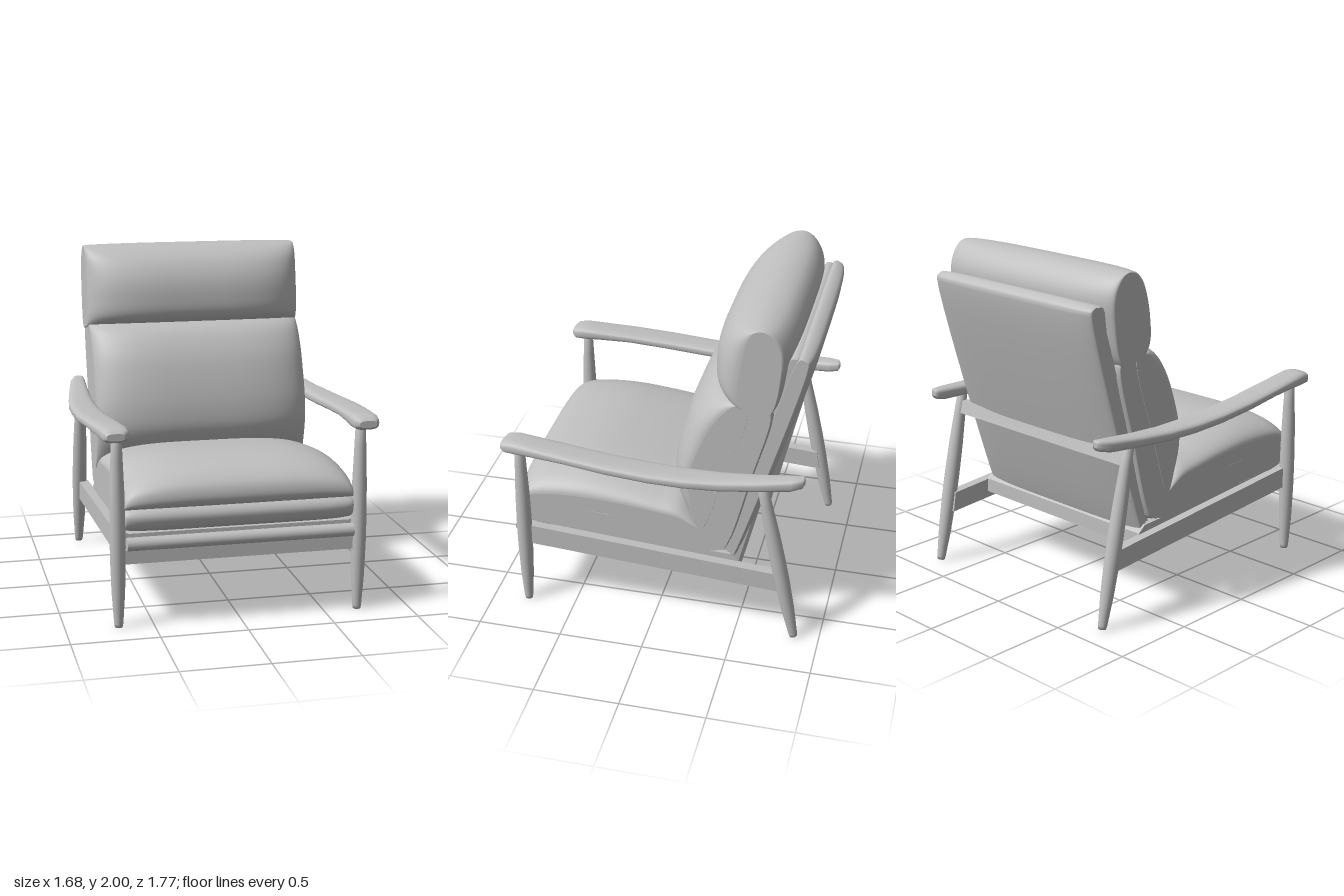
import * as THREE from 'three';

const grey = new THREE.MeshStandardMaterial({ color: 0xc0c0c0 });
grey.name = 'softGrey';

// Skin a list of closed rings, with flat end caps; the winding is turned outward
function loft(rings) {
  const n = rings[0].length, pos = [], idx = [];
  const push = p => pos.push(p.x, p.y, p.z) / 3 - 1;
  rings.forEach(r => r.forEach(push));
  for (let i = 0; i < rings.length - 1; i++)
    for (let j = 0; j < n; j++) {
      const a = i * n + j, b = i * n + (j + 1) % n;
      idx.push(a, b, a + n, b, b + n, a + n);
    }
  [rings[0], rings[rings.length - 1]].forEach((ring, end) => {
    const mid = ring.reduce((s, p) => s.add(p), new THREE.Vector3()).divideScalar(n);
    const c = push(mid), first = c + 1;
    ring.forEach(push);
    for (let j = 0; j < n; j++) {
      const a = first + j, b = first + (j + 1) % n;
      if (end) idx.push(c, a, b); else idx.push(c, b, a);
    }
  });
  const at = i => new THREE.Vector3().fromArray(pos, i * 3);
  let volume = 0;
  for (let i = 0; i < idx.length; i += 3)
    volume += at(idx[i]).dot(at(idx[i + 1]).cross(at(idx[i + 2])));
  if (volume < 0) idx.reverse();
  const g = new THREE.BufferGeometry();
  g.setAttribute('position', new THREE.Float32BufferAttribute(pos, 3));
  g.setIndex(idx);
  g.computeVertexNormals();
  return g;
}

// Side profile [z, y] that blends from a full centre to a slimmer edge
function pillow(centre, edge, halfWidth, power = 3, samples = 80) {
  const sample = pts => new THREE.CatmullRomCurve3(
    pts.map(([z, y]) => new THREE.Vector3(0, y, z)), true, 'centripetal').getPoints(samples).slice(0, -1);
  const a = sample(centre), b = sample(edge), rings = [];
  for (let i = 0; i <= 40; i++) {
    const u = Math.sin((i / 20 - 1) * Math.PI / 2);
    const f = Math.sqrt(Math.max(0, 1 - Math.abs(u) ** power));
    rings.push(a.map((p, k) => {
      const q = b[k].clone().lerp(p, f);
      q.x = u * halfWidth;
      return q;
    }));
  }
  return loft(rings);
}

// Armrest: stations are [z, inner x, outer x, bottom y, top y]
function armrest(side) {
  const stations = [
    [-0.872, 0.665, 0.69, 1.075, 1.105], [-0.86, 0.645, 0.715, 1.055, 1.117],
    [-0.8, 0.645, 0.74, 1.04, 1.113], [-0.6, 0.655, 0.775, 1.028, 1.098],
    [-0.4, 0.665, 0.805, 1.02, 1.09], [-0.2, 0.67, 0.83, 1.025, 1.092],
    [0, 0.672, 0.84, 1.035, 1.1], [0.25, 0.67, 0.84, 1.055, 1.118],
    [0.5, 0.655, 0.825, 1.078, 1.138], [0.7, 0.64, 0.805, 1.08, 1.154],
    [0.8, 0.632, 0.795, 1.078, 1.162], [0.86, 0.637, 0.785, 1.08, 1.155],
    [0.883, 0.665, 0.765, 1.095, 1.135]
  ];
  const round = v => Math.sign(v) * Math.abs(v) ** 0.65;
  return loft(stations.map(([z, xi, xo, y0, y1]) => Array.from({ length: 32 }, (_, k) => {
    const t = k / 32 * Math.PI * 2;
    return new THREE.Vector3(side * ((xi + xo) / 2 + round(Math.cos(t)) * (xo - xi) / 2),
      (y0 + y1) / 2 + round(Math.sin(t)) * (y1 - y0) / 2, z);
  })));
}

// Turned leg between two points
function leg(foot, top) {
  const axis = top.clone().sub(foot), h = axis.length();
  const profile = [[0, 0], [0.022, 0], [0.026, 0.02], [0.038, 0.18], [0.044, 0.36],
    [0.045, 0.5], [0.042, 0.68], [0.034, 0.87], [0.029, 1], [0, 1]];
  const g = new THREE.LatheGeometry(profile.map(([r, t]) => new THREE.Vector2(r, t * h)), 28);
  g.applyQuaternion(new THREE.Quaternion().setFromUnitVectors(new THREE.Vector3(0, 1, 0), axis.normalize()));
  return g.translate(foot.x, foot.y, foot.z);
}

// Straight bar from a side outline [z, y]
function bar(outline, x0, x1) {
  const shape = new THREE.Shape(outline.map(([z, y]) => new THREE.Vector2(-z, y)));
  const g = new THREE.ExtrudeGeometry(shape, { depth: x1 - x0, bevelEnabled: false });
  return g.rotateY(Math.PI / 2).translate(x0, 0, 0);
}

export function createModel() {
  const chair = new THREE.Group();
  chair.name = 'loungeChair';
  const add = (name, geometry) => {
    const m = new THREE.Mesh(geometry, grey);
    m.name = name;
    chair.add(m);
  };

  // Seat: firm base and soft top
  add('seatBase', pillow(
    [[0.8, 0.69], [0.845, 0.64], [0.82, 0.57], [0.74, 0.535], [0.4, 0.525], [0, 0.51], [-0.35, 0.51],
      [-0.42, 0.54], [-0.36, 0.64], [-0.2, 0.67], [0.3, 0.69]],
    [[0.78, 0.67], [0.815, 0.64], [0.8, 0.58], [0.73, 0.55], [0.4, 0.535], [0, 0.515], [-0.35, 0.515],
      [-0.4, 0.54], [-0.35, 0.62], [-0.2, 0.64], [0.3, 0.67]], 0.66, 6));
  add('seatCushion', pillow(
    [[0.8, 0.675], [0.843, 0.72], [0.83, 0.8], [0.75, 0.865], [0.6, 0.897], [0.42, 0.905], [0.2, 0.88],
      [0, 0.845], [-0.15, 0.81], [-0.27, 0.64], [0, 0.655], [0.4, 0.675]],
    [[0.78, 0.675], [0.81, 0.69], [0.8, 0.715], [0.74, 0.74], [0.6, 0.76], [0.42, 0.765], [0.2, 0.755],
      [0, 0.735], [-0.15, 0.71], [-0.27, 0.64], [0, 0.655], [0.4, 0.675]], 0.66, 3.5));

  // Backrest: firm layer, soft back cushion and head cushion
  add('backLayer', pillow(
    [[-0.26, 0.64], [-0.33, 0.54], [-0.41, 0.52], [-0.46, 0.6], [-0.58, 1.05], [-0.68, 1.45],
      [-0.66, 1.52], [-0.5, 1.52], [-0.4, 1.1]],
    [[-0.27, 0.64], [-0.34, 0.55], [-0.4, 0.53], [-0.44, 0.6], [-0.56, 1.05], [-0.66, 1.45],
      [-0.65, 1.49], [-0.51, 1.49], [-0.4, 1.1]], 0.66, 6));
  add('backCushion', pillow(
    [[-0.27, 0.64], [-0.13, 0.78], [-0.07, 0.9], [-0.065, 1.02], [-0.1, 1.2], [-0.17, 1.38],
      [-0.27, 1.5], [-0.4, 1.54], [-0.53, 1.5], [-0.41, 1.05]],
    [[-0.27, 0.65], [-0.22, 0.8], [-0.2, 0.92], [-0.21, 1.05], [-0.26, 1.2], [-0.33, 1.36],
      [-0.41, 1.47], [-0.46, 1.51], [-0.53, 1.5], [-0.41, 1.05]], 0.662, 3.5));
  add('headCushion', pillow(
    [[-0.37, 1.52], [-0.3, 1.58], [-0.29, 1.7], [-0.315, 1.82], [-0.38, 1.92], [-0.48, 1.98],
      [-0.6, 2], [-0.7, 1.97], [-0.765, 1.88], [-0.765, 1.76], [-0.67, 1.48], [-0.52, 1.49]],
    [[-0.49, 1.51], [-0.47, 1.57], [-0.48, 1.7], [-0.5, 1.82], [-0.52, 1.92], [-0.55, 1.975],
      [-0.6, 1.99], [-0.65, 1.97], [-0.7, 1.89], [-0.71, 1.76], [-0.65, 1.48], [-0.55, 1.49]], 0.67, 3.5));

  // Back shell: slim inner panel and bowed outer panel
  add('innerBackPanel', pillow(
    [[-0.395, 0.52], [-0.4, 0.5], [-0.45, 0.48], [-0.46, 0.5], [-0.815, 1.79], [-0.81, 1.82], [-0.77, 1.83], [-0.745, 1.8]],
    [[-0.395, 0.52], [-0.4, 0.5], [-0.43, 0.48], [-0.44, 0.5], [-0.79, 1.79], [-0.785, 1.82], [-0.76, 1.82], [-0.745, 1.8]],
    0.62, 8));
  add('outerBackPanel', pillow(
    [[-0.425, 0.5], [-0.43, 0.47], [-0.475, 0.45], [-0.49, 0.47], [-0.885, 1.79], [-0.875, 1.825], [-0.815, 1.845], [-0.785, 1.81]],
    [[-0.43, 0.5], [-0.435, 0.475], [-0.455, 0.46], [-0.465, 0.48], [-0.85, 1.79], [-0.845, 1.815], [-0.81, 1.83], [-0.79, 1.81]],
    0.635, 4));

  // Under-seat plate and cross bars
  add('seatPlate', bar([[0.79, 0.44], [0.79, 0.54], [-0.45, 0.5], [-0.5, 0.46], [-0.5, 0.375]], -0.65, 0.65));
  add('frontLowerBar', bar([[0.765, 0.37], [0.81, 0.37], [0.81, 0.45], [0.765, 0.45]], -0.68, 0.68));
  add('frontDowel', new THREE.CylinderGeometry(0.038, 0.038, 1.31, 24).rotateZ(Math.PI / 2).translate(0, 0.49, 0.825));
  add('rearCrossBar', bar([[-0.625, 1.0], [-0.645, 0.925], [-0.68, 0.925], [-0.66, 1.0]], -0.7, 0.7));

  // Mirrored legs, rails and armrests
  for (const [side, label] of [[1, 'left'], [-1, 'right']]) {
    const v = (y, z) => new THREE.Vector3(side * 0.7, y, z);
    add(label + 'FrontLeg', leg(v(0, 0.79), v(1.11, 0.79)));
    add(label + 'RearLeg', leg(v(0.008, -0.85), v(1.06, -0.632)));
    add(label + 'SideRail', bar([[0.79, 0.418], [0.79, 0.545], [-0.76, 0.437], [-0.78, 0.318]],
      side > 0 ? 0.645 : -0.705, side > 0 ? 0.705 : -0.645));
    add(label + 'Armrest', armrest(side));
  }
  return chair;
}
